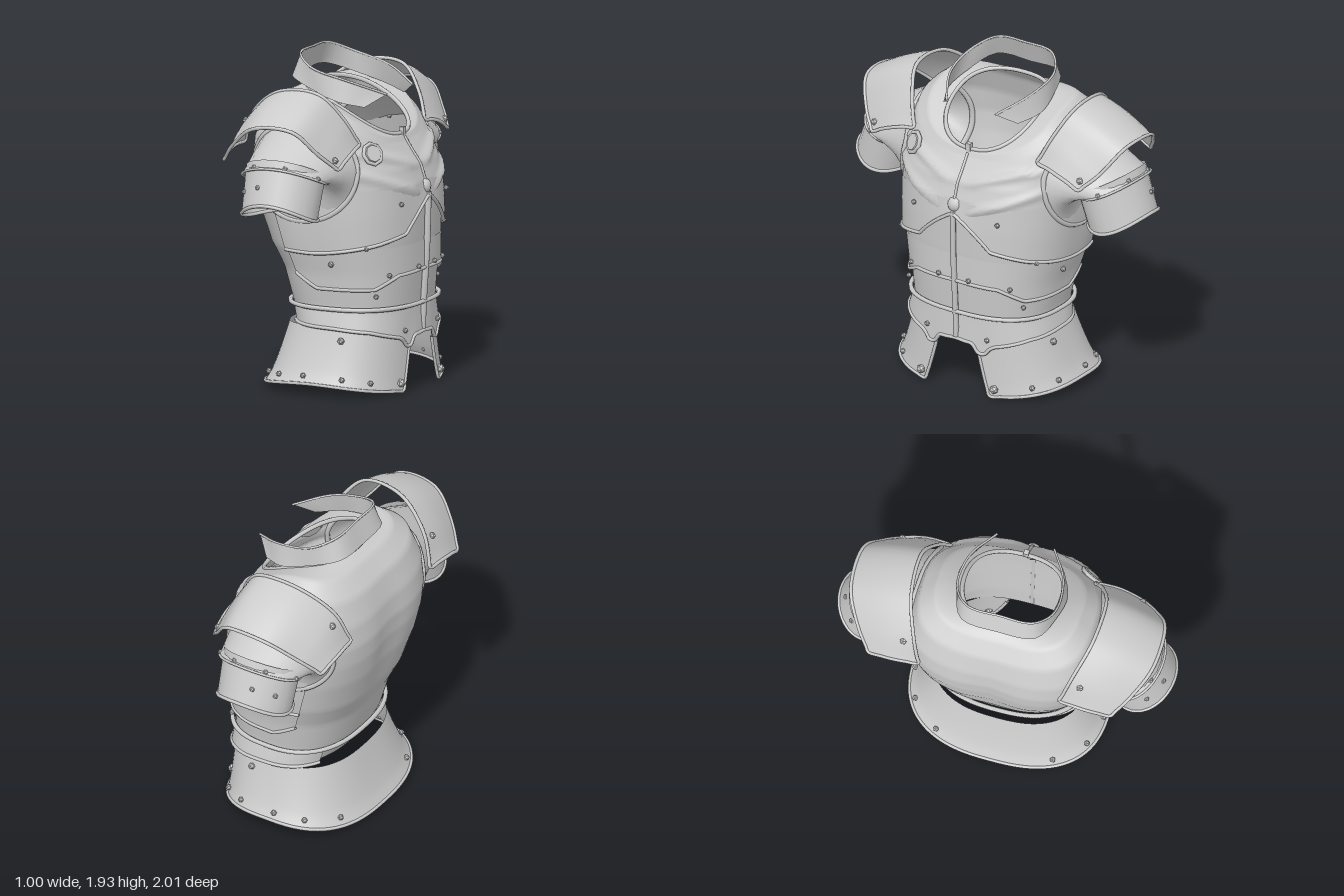
import * as THREE from 'three';
import { mergeVertices } from 'three/addons/utils/BufferGeometryUtils.js';

const V = (x, y, z) => new THREE.Vector3(x, y, z);
const mat = new THREE.MeshStandardMaterial({ color: 0xcccccc, side: THREE.DoubleSide, roughness: 0.7 });
const flat = mat.clone();
flat.flatShading = true;
const { lerp, clamp, smoothstep } = THREE.MathUtils;
const spow = (v, p) => Math.sign(v) * Math.pow(Math.abs(v), p);
// roundness of the torso section; the upper back is boxier
const FRONT = 0.78;
const roundness = (a, y) => (Math.cos(a) < 0 ? lerp(FRONT, 0.6, smoothstep(y, 0.7, 1.3)) : FRONT);

// torso rings: y at back, side, front; x at back, front; half width
const RINGS = [
  [0.40, 0.39, 0.33, -0.24, 0.43, 0.46],
  [0.50, 0.50, 0.48, -0.285, 0.435, 0.45],
  [0.70, 0.70, 0.70, -0.34, 0.45, 0.48],
  [0.85, 0.85, 0.87, -0.41, 0.46, 0.52],
  [1.05, 1.05, 1.05, -0.465, 0.465, 0.545],
  [1.20, 1.20, 1.20, -0.49, 0.465, 0.555],
  [1.32, 1.33, 1.30, -0.495, 0.43, 0.565],
  [1.45, 1.50, 1.38, -0.475, 0.375, 0.56],
  [1.60, 1.64, 1.43, -0.42, 0.34, 0.51],
  [1.70, 1.70, 1.46, -0.33, 0.325, 0.42],
  [1.74, 1.66, 1.47, -0.25, 0.31, 0.285],
];
const ringAt = v => {
  const i = Math.min(9, Math.floor(v));
  return RINGS[i].map((q, k) => lerp(q, RINGS[i + 1][k], v - i));
};
// point of a ring at angle a (0 is the chest, PI the back)
function ringPoint([yb, ys, yf, xb, xf, hz], a, off = 0, e = roundness(a, ys)) {
  const c = spow(Math.cos(a), e), s = spow(Math.sin(a), e);
  return V((xb + xf) / 2 + (xf - xb) / 2 * c + off * Math.cos(a),
    ys + (yf - yb) / 2 * c + ((yf + yb) / 2 - ys) * c * c,
    hz * s + off * Math.sin(a));
}
function vFor(a, y) {
  let lo = 0, hi = 9.5;
  for (let i = 0; i < 24; i++) {
    const m = (lo + hi) / 2;
    if (ringPoint(ringAt(m), a).y < y) lo = m; else hi = m;
  }
  return lo;
}
const on = (a, y, off = 0) => ringPoint(ringAt(vFor(a, y)), a, off);
// torso surface at a given height and z (chest side) or x (flank)
function onZ(y, z, off = 0.01) {
  let a = 0;
  for (let i = 0; i < 6; i++) a = Math.asin(spow(clamp(z / ringAt(vFor(a, y))[5], -1, 1), 1 / FRONT));
  return on(a, y, off);
}
function onX(y, x, off = 0.01) {
  let a = Math.PI / 2;
  for (let i = 0; i < 6; i++) {
    const [, ys, , xb, xf] = ringAt(vFor(a, y));
    const c = clamp((2 * x - xb - xf) / (xf - xb), -1, 1);
    a = Math.acos(spow(c, 1 / roundness(Math.acos(c), ys)));
  }
  return on(a, y, off);
}

// surface from fn(u, v); cells whose corners are all marked cut are left open
function grid(fn, nu, nv) {
  const pts = [], idx = [];
  for (let j = 0; j <= nv; j++) for (let i = 0; i <= nu; i++) pts.push(fn(i / nu, j / nv));
  for (let j = 0; j < nv; j++) for (let i = 0; i < nu; i++) {
    const a = j * (nu + 1) + i, b = a + 1, c = a + nu + 1, d = c + 1;
    if ([a, b, c, d].every(k => pts[k].cut)) continue;
    idx.push(a, c, b, b, c, d);
  }
  let g = new THREE.BufferGeometry().setFromPoints(pts);
  g.setIndex(idx);
  g = mergeVertices(g, 1e-4);
  g.computeVertexNormals();
  return g;
}
function add(parent, name, geo, m = mat) {
  const mesh = new THREE.Mesh(geo, m);
  mesh.name = name;
  parent.add(mesh);
  return mesh;
}
function rim(parent, name, pts, r = 0.012, closed = false) {
  const path = new THREE.CatmullRomCurve3(pts, closed, 'centripetal');
  return add(parent, name, new THREE.TubeGeometry(path, pts.length * 4, r, 6, closed));
}
const rivetGeo = new THREE.IcosahedronGeometry(0.018, 0);
const rivet = (parent, p, s = 1) => {
  const m = add(parent, 'rivet', rivetGeo, flat);
  m.position.copy(p);
  m.scale.setScalar(s);
};
const steps = (n, fn) => Array.from({ length: n + 1 }, (_, i) => fn(i / n));
const curve = pts => new THREE.CatmullRomCurve3(pts.map(p => V(...p)), false, 'centripetal');
// height along straight segments [angle, y]
function zigzag(pts, a) {
  const i = Math.max(1, pts.findIndex(p => p[0] >= a));
  const [a0, y0] = pts[i - 1], [a1, y1] = pts[i];
  return lerp(y0, y1, (a - a0) / (a1 - a0));
}

export function createModel() {
  const model = new THREE.Group();
  model.name = 'bodyArmour';

  // torso shell with round armholes, chest folds and a spine groove
  const AX = -0.065, AY = 1.3, RX = 0.33, RY = 0.285, NECK = 0.85;
  add(model, 'torso', grid((u, t) => {
    const a = u * Math.PI * 2, ring = ringAt(t * 10);
    const p = ringPoint(ring, a, 0, lerp(roundness(a, ring[1]), NECK, Math.max(0, t * 10 - 9)));
    if (p.x > 0.15 && p.y > 1.05 && p.y < 1.42) {
      const d1 = p.y - (1.29 + 0.3 * Math.abs(p.z)), d2 = p.y - (1.1 + 0.4 * Math.abs(p.z));
      p.x += 0.022 * (Math.exp(-d1 * d1 * 1500) + Math.exp(-d2 * d2 * 1500)) * Math.min(1, Math.abs(p.z) * 8);
    }
    if (p.x < 0) p.x += 0.025 * Math.exp(-p.z * p.z * 70 - (p.y - 1.2) ** 2 * 8);
    const dx = (p.x - AX) / RX, dy = (p.y - AY) / RY, d = Math.hypot(dx, dy);
    if (d < 1 && Math.abs(p.z) > 0.38) {
      p.cut = true;
      p.x = AX + dx / (d || 1) * RX;
      p.y = AY + dy / (d || 1) * RY;
    }
    return p;
  }, 96, 60));
  rim(model, 'neckRim', steps(24, t => ringPoint(RINGS[10], t * Math.PI * 2, 0, NECK)).slice(0, 24), 0.013, true);

  // overlapping front plates: lower edge, upper edge, angular reach, lift
  const breastEdge = [[0, 1.12], [0.37, 0.93], [0.83, 0.885], [1.6, 0.83], [3.2, 0.85]];
  const bellyEdge = [[0, 0.7], [0.5, 0.69], [0.9, 0.62], [1.65, 0.62], [1.95, 0.7], [3.2, 0.7]];
  const beltEdge = [[0, 0.33], [0.16, 0.32], [0.27, 0.25], [0.42, 0.32], [1, 0.37], [1.6, 0.39], [3.2, 0.4]];
  const plates = [
    ['breastplate', breastEdge, 1.2, 1.95, 0.022],
    ['bellyPlate', bellyEdge, 0.86, 1.95, 0.016],
    ['beltPlate', beltEdge, 0.5, 2.5, 0.022],
  ];
  for (const [name, edge, top, reach, off] of plates) {
    const at = (u, t) => {
      const a = (u * 2 - 1) * reach, y = lerp(zigzag(edge, Math.abs(a)), top, t);
      const p = on(a, y, lerp(off, 0.003, t));
      p.y = y;
      return p;
    };
    add(model, name, grid(at, 64, 6));
    rim(model, name + 'Rim', steps(64, u => at(u, 0)), 0.011);
  }
  rim(model, 'beltRim', steps(40, u => on(u * Math.PI * 2, 0.5, 0.02)).slice(0, 40), 0.014, true);

  // centre ridge with a boss and a neck clasp
  rim(model, 'centreRidge', steps(12, t => onZ(lerp(0.34, 1.14, t), 0, 0.014)), 0.019);
  rim(model, 'upperRidge', steps(5, t => onZ(lerp(1.2, 1.45, t), 0, 0.001)), 0.009);
  add(model, 'centreBoss', new THREE.SphereGeometry(0.05, 12, 8)).position.set(0.445, 1.17, 0);
  add(model, 'neckClasp', new THREE.BoxGeometry(0.03, 0.05, 0.03)).position.set(0.315, 1.48, 0);

  // round badge on the left breast
  const badge = new THREE.Group();
  badge.name = 'badge';
  add(badge, 'badgeDisc', new THREE.CylinderGeometry(0.05, 0.06, 0.03, 8).rotateX(Math.PI / 2));
  add(badge, 'badgeRing', new THREE.TorusGeometry(0.062, 0.012, 6, 8));
  badge.position.copy(onZ(1.41, 0.38, 0.01));
  badge.lookAt(badge.position.clone().add(V(0.8, 0.4, 0.45)));
  model.add(badge);

  // flared skirt, open at the front and tucked under the belt
  const TOP = [0.38, 0.385, 0.33, -0.31, 0.435, 0.46], BOT = [0.02, 0.075, 0.01, -0.44, 0.45, 0.58];
  const skirt = (u, t, off = 0) => {
    const a0 = lerp(0.3, 0.2, t), a = lerp(a0, Math.PI * 2 - a0, u);
    const f = Math.pow(t, 0.75);
    return ringPoint(TOP.map((q, k) => lerp(BOT[k], q, k < 3 ? t : f)), a, off, FRONT);
  };
  add(model, 'skirt', grid((u, t) => skirt(u, t), 64, 8));
  rim(model, 'skirtRim', [...steps(6, t => skirt(0, 0.8 - 0.8 * t)), ...steps(40, u => skirt(u, 0)).slice(1),
    ...steps(6, t => skirt(1, 0.8 * t)).slice(1)], 0.01);
  for (const u of [0.015, 0.1, 0.17, 0.24, 0.31, 0.4]) for (const w of [u, 1 - u]) rivet(model, skirt(w, 0.14, 0.01), u < 0.02 ? 1.5 : 1);
  for (const w of [0.2, 0.8]) rivet(model, skirt(w, 0.82, 0.01), 1.2);

  // standing collar, raised off the back, its points turned in at the front
  const colTop = [[-0.25, 1.93, 0], [-0.24, 1.92, 0.19], [-0.12, 1.86, 0.29], [0.1, 1.8, 0.28], [0.3, 1.72, 0.17]];
  const colLow = [[-0.3, 1.79, 0], [-0.28, 1.79, 0.22], [-0.1, 1.73, 0.3], [0.06, 1.68, 0.32], [0.2, 1.65, 0.26]];
  const both = half => curve([...half.slice(1).reverse().map(([x, y, z]) => [x, y, -z]), ...half]);
  const cTop = both(colTop), cLow = both(colLow);
  add(model, 'collar', grid((u, t) => cLow.getPoint(u).lerp(cTop.getPoint(u), t), 32, 3));
  rim(model, 'collarRim', steps(24, u => cTop.getPoint(u)), 0.007);

  for (const s of [1, -1]) {
    const side = new THREE.Group();
    side.name = s > 0 ? 'leftArm' : 'rightArm';
    side.scale.z = s;
    model.add(side);

    // armhole rim
    const armhole = t => {
      const a = t * Math.PI * 2;
      return onX(AY + RY * Math.sin(a), AX + RX * Math.cos(a), 0.003);
    };
    rim(side, 'armholeRim', steps(24, armhole).slice(0, 24), 0.016, true);

    // sleeve rings: centre y, z; axis y, z; radius in x; sag
    const ring = ([cy, cz, dy, dz, rx, sag], u) => {
      const c = Math.cos(u * Math.PI * 2), n = Math.sin(u * Math.PI * 2);
      return V(-0.075 + rx * c, cy + dy * n - sag * c * c, cz + dz * n);
    };
    const MID = [1.32, 0.745, 0.06, 0.18, 0.255, 0.03];
    const HIGH = [1.36, 0.72, 0.07, 0.175, 0.24, 0.02], CUFF = [1.135, 0.805, 0.04, 0.19, 0.225, 0.06];
    // upper lame spreads from the armhole, lower lame runs to the cuff
    const upper = (u, t) => armhole(u).lerp(ring(MID, u), t);
    const lower = (u, t) => ring(HIGH, u).lerp(ring(CUFF, u), t);
    add(side, 'upperSleeve', grid(upper, 32, 6));
    add(side, 'lowerSleeve', grid(lower, 24, 5));
    rim(side, 'upperSleeveRim', steps(16, u => upper(u, 1)).slice(0, 16), 0.008, true);
    rim(side, 'sleeveCuff', steps(16, u => lower(u, 1)).slice(0, 16), 0.011, true);
    for (const u of [0.06, 0.2, 0.33, 0.47]) rivet(side, upper(u, 0.95), 0.9);
    for (const u of [0.3, 0.4]) rivet(side, lower(u, 0.6), 0.9);

    // shoulder plate arched over the sleeve
    const inner = curve([[-0.48, 1.43, 0.42], [-0.4, 1.62, 0.47], [-0.2, 1.76, 0.54], [0.05, 1.76, 0.55], [0.18, 1.62, 0.49], [0.25, 1.47, 0.43]]);
    const outer = curve([[-0.47, 1.37, 0.72], [-0.37, 1.48, 0.81], [-0.2, 1.6, 0.9], [0.05, 1.6, 0.9], [0.18, 1.46, 0.81], [0.255, 1.37, 0.72]]);
    const plate = (u, t) => inner.getPoint(u).lerp(outer.getPoint(u), t)
      .add(V((u - 0.5) * 0.03, 0.015, 0).multiplyScalar(Math.sin(t * Math.PI)));
    add(side, 'shoulderPlate', grid(plate, 30, 6));
    rim(side, 'shoulderPlateRim', [...steps(20, u => plate(u, 0)), ...steps(4, t => plate(1, t)).slice(1),
      ...steps(20, u => plate(1 - u, 1)).slice(1), ...steps(4, t => plate(0, 1 - t)).slice(1, 4)], 0.011, true);
    rivet(side, plate(0.16, 0.2), 1.2);
    rivet(side, plate(0.93, 0.88), 1.2);

    // rivets on the front plates
    for (const [y, z] of [[1.11, 0.28], [0.72, 0.1], [0.7, 0.33], [0.36, 0.2], [0.87, 0.45], [0.58, 0.38]])
      rivet(side, onZ(y, z, 0.025), 0.9);
    rivet(side, onX(0.77, 0.11, 0.02));
  }
  return model;
}
